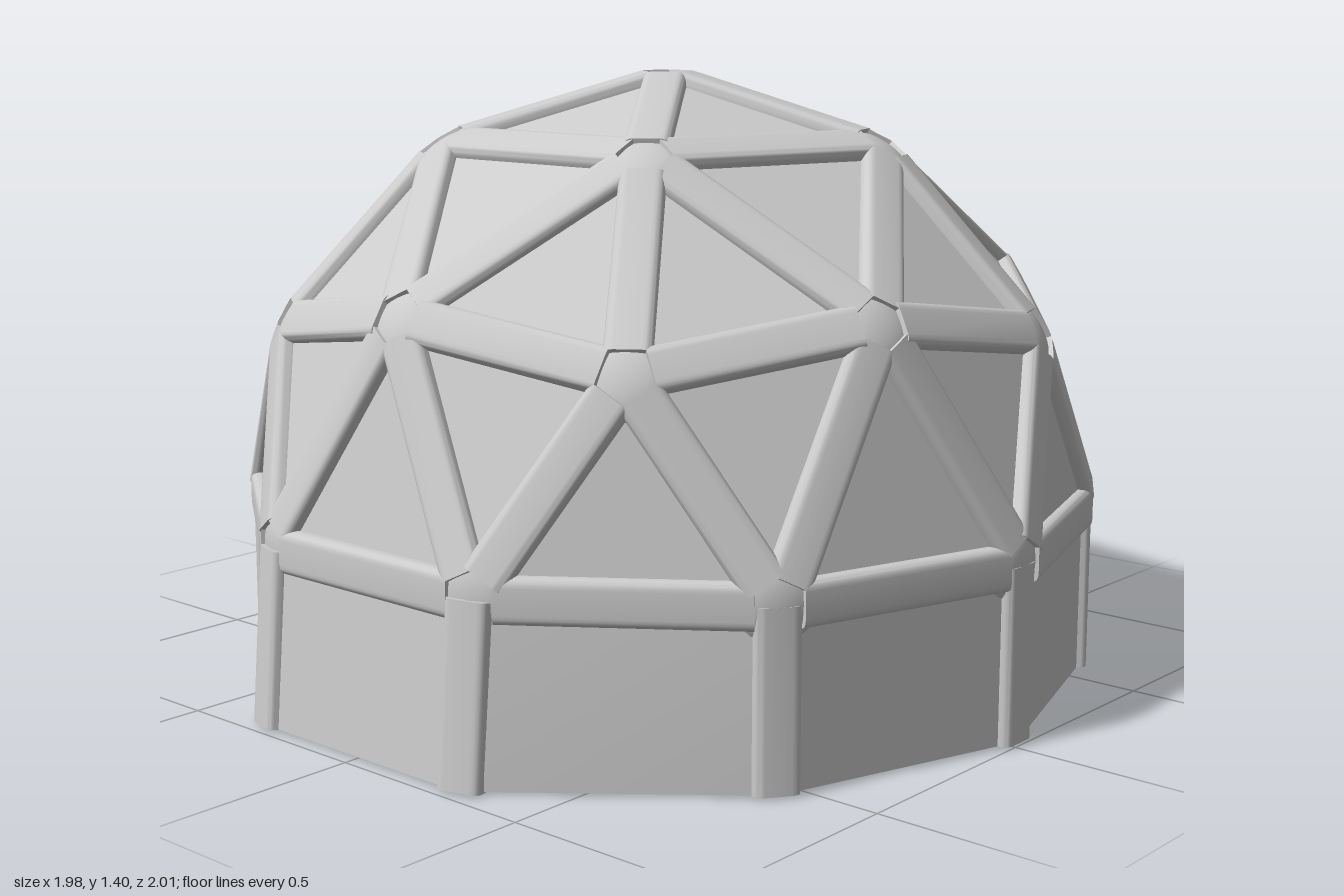
import * as THREE from 'three';
import { toCreasedNormals } from 'three/addons/utils/BufferGeometryUtils.js';

const EDGE = 1.018;   // radius at which the outer faces of the struts would meet
const HUB = 1;        // radius of the blunted corners
const PANEL = 0.997;  // radius of the panel corners
const BASE = 0.39;    // height of the dome's lowest ring
const WIDTH = 0.1, DEPTH = 0.055, CORNER = 0.022;
const grey = new THREE.MeshStandardMaterial({ color: 0xcccccc });
const greySheet = new THREE.MeshStandardMaterial({ color: 0xcccccc, side: THREE.DoubleSide });
const dark = new THREE.MeshStandardMaterial({ color: 0x444444, side: THREE.DoubleSide });

const add = (parent, name, geometry, material) => {
  const mesh = new THREE.Mesh(geometry, material);
  mesh.name = name;
  parent.add(mesh);
  return mesh;
};

// Point on the unit sphere: radius and height of its ring, angle in degrees
const ring = (r, h) => (deg) => {
  const a = THREE.MathUtils.degToRad(deg);
  return new THREE.Vector3(r * Math.cos(a), h, r * Math.sin(a));
};
const at = (p, radius) => p.clone().multiplyScalar(radius);

// Bar section: rounded rectangle with its outer face on y = 0
function barSection() {
  const w = WIDTH / 2, d = DEPTH, c = CORNER;
  const s = new THREE.Shape();
  s.moveTo(-w + c, -d);
  s.lineTo(w - c, -d).quadraticCurveTo(w, -d, w, -d + c);
  s.lineTo(w, -c).quadraticCurveTo(w, 0, w - c, 0);
  s.lineTo(-w + c, 0).quadraticCurveTo(-w, 0, -w, -c);
  s.lineTo(-w, -d + c).quadraticCurveTo(-w, -d, -w + c, -d);
  return s;
}
const section = barSection();

// Bar from a to b whose outer face points along 'out', cut short at both ends
function bar(parent, name, a, b, out, trim) {
  const z = b.clone().sub(a);
  const depth = z.length() - 2 * trim;
  z.normalize();
  const y = out.clone().addScaledVector(z, -out.dot(z)).normalize();
  const x = y.clone().cross(z);
  const g = new THREE.ExtrudeGeometry(section, { depth, bevelEnabled: false, curveSegments: 5 });
  g.applyMatrix4(new THREE.Matrix4().makeBasis(x, y, z).setPosition(a.clone().addScaledVector(z, trim)));
  add(parent, name, toCreasedNormals(g, 0.7), grey);
}

// Flat sheet through three or four corners, wound to face outwards
function sheet(parent, name, points) {
  const [a, b, c] = points;
  const n = b.clone().sub(a).cross(c.clone().sub(a));
  const mid = a.clone().add(b).add(c);
  const g = new THREE.BufferGeometry().setFromPoints(n.dot(mid) < 0 ? [...points].reverse() : points);
  g.setIndex(points.length === 4 ? [0, 1, 2, 0, 2, 3] : [0, 1, 2]);
  g.computeVertexNormals();
  add(parent, name, g, greySheet);
}

export function createModel() {
  const model = new THREE.Group();
  model.name = 'geodesicDome';
  const shell = new THREE.Group();
  shell.name = 'shell';
  shell.position.x = 0.018;
  model.add(shell);
  const dome = new THREE.Group();
  dome.name = 'dome';
  dome.position.y = BASE;
  shell.add(dome);

  // Triangles of a two-frequency icosahedral hemisphere, one fifth at a time
  const top = new THREE.Vector3(0, 1, 0);
  const upper = ring(0.526, 0.851), corner = ring(0.894, 0.447);
  const middle = ring(0.851, 0.526), equator = ring(1, 0);
  const triangles = [];
  for (let k = 0; k < 5; k++) {
    const a = 72 * k;
    triangles.push(
      [top, upper(a), upper(a + 72)],
      [upper(a), upper(a + 72), middle(a + 36)],
      [upper(a), corner(a), middle(a + 36)],
      [upper(a), corner(a), middle(a - 36)],
      [corner(a), equator(a + 18), middle(a + 36)],
      [corner(a), equator(a - 18), middle(a - 36)],
      [corner(a), equator(a + 18), equator(a - 18)],
      [middle(a + 36), equator(a + 18), equator(a + 54)]
    );
  }

  // Panels, with each strut and hub made once
  const key = (p) => p.toArray().map((v) => Math.round(v * 100)).join();
  const struts = new Map(), hubs = new Map();
  triangles.forEach((t, i) => {
    // one triangle is left open as a window
    if (i !== 6) sheet(dome, 'domePanel', t.map((p) => at(p, PANEL)));
    t.forEach((p, j) => {
      const q = t[(j + 1) % 3];
      hubs.set(key(p), p);
      struts.set([key(p), key(q)].sort().join('|'), [p, q]);
    });
  });
  for (const [p, q] of struts.values()) {
    bar(dome, 'strut', at(p, EDGE), at(q, EDGE), p.clone().add(q), 0.055);
  }
  for (const p of hubs.values()) {
    const hub = add(dome, 'hub', new THREE.SphereGeometry(1, 28, 16), grey);
    hub.scale.set(0.088, 0.036, 0.088);
    hub.position.copy(at(p, HUB - 0.036));
    hub.quaternion.setFromUnitVectors(top, p.clone().normalize());
  }

  // Ten-sided base wall; the side at -x leans outwards at its foot
  const wall = new THREE.Group();
  wall.name = 'wall';
  shell.add(wall);
  const heads = [], feet = [];
  for (let k = 0; k < 10; k++) {
    const out = equator(18 + 36 * k);
    const leaning = k === 4 || k === 5;
    const head = new THREE.Vector3(leaning ? -0.012 : 0, BASE, 0);
    const foot = new THREE.Vector3(leaning ? -0.045 : 0, 0, 0);
    bar(wall, 'column', at(out, HUB).add(foot), at(out, HUB).add(head), out, 0);
    heads.push(at(out, PANEL - 0.005).add(head));
    feet.push(at(out, PANEL - 0.005).add(foot));
  }
  for (let k = 0; k < 10; k++) {
    const n = (k + 1) % 10;
    sheet(wall, 'wallPanel', [feet[k], feet[n], heads[n], heads[k]]);
  }

  // Dark floor closing the dome above the wall, with a small knob
  const floorHeight = 0.355;
  const floor = new THREE.CircleGeometry(PANEL - 0.005, 10, Math.PI / 10);
  floor.rotateX(-Math.PI / 2);
  add(shell, 'floor', floor, dark).position.y = floorHeight;
  const knob = new THREE.SphereGeometry(0.03, 16, 8, 0, Math.PI * 2, 0, Math.PI / 2);
  add(shell, 'floorKnob', knob, grey).position.y = 0.43;
  const stem = new THREE.CylinderGeometry(0.03, 0.03, 0.43 - floorHeight, 16, 1, true);
  add(shell, 'knobStem', stem, grey).position.y = (0.43 + floorHeight) / 2;

  return model;
}
